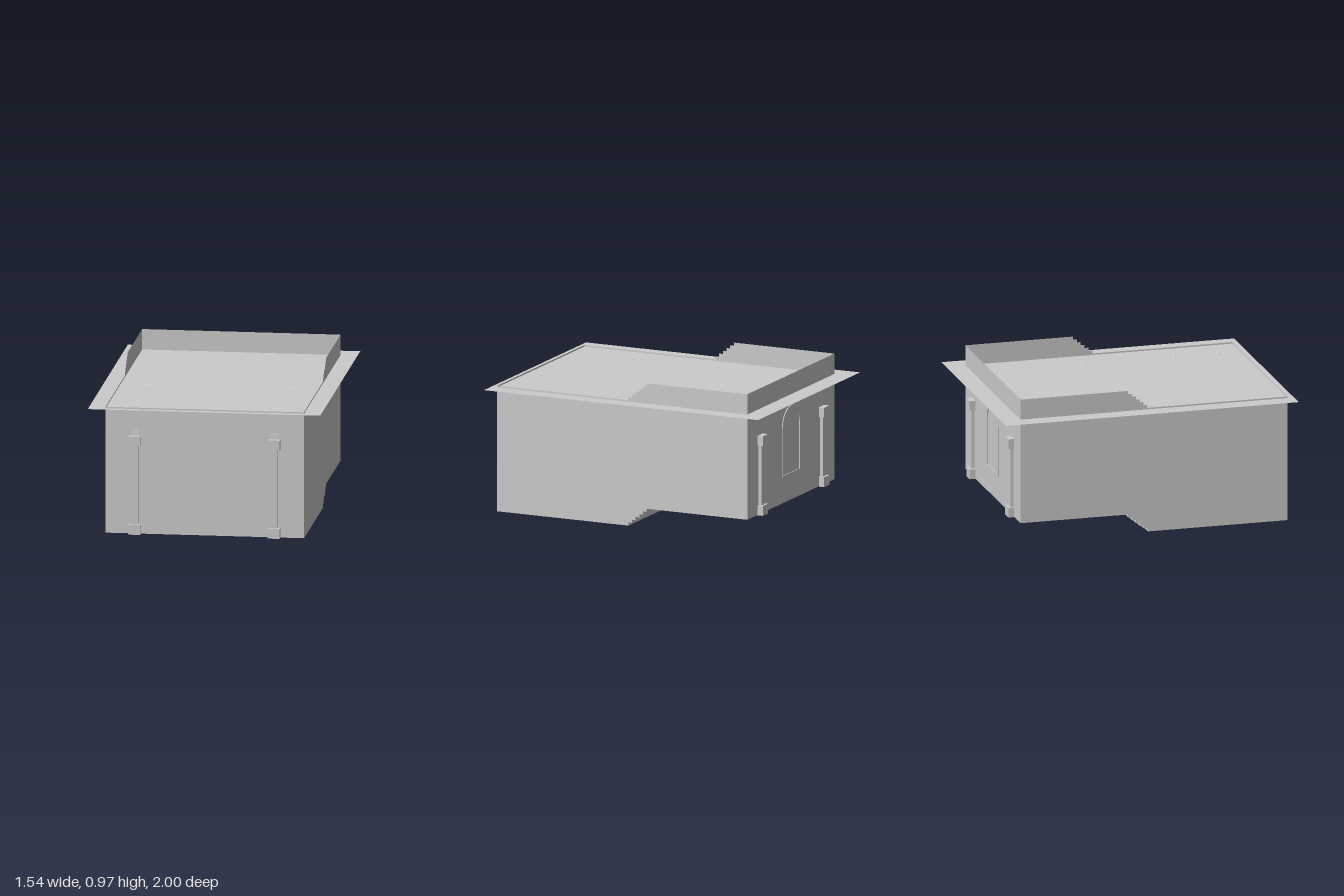
import * as THREE from 'three';

const HALF_W = 0.657, FRONT = 0.957, BACK = -0.867;
const LOW = 0, HIGH = 0.127, WALL_H = 0.846, STEPS = 6, STEP_START = 0, STEP_END = -0.133;

const material = new THREE.MeshStandardMaterial({ color: 0xcccccc, side: THREE.DoubleSide, flatShading: true });

function add(parent, name, geometry, x = 0, y = 0, z = 0) {
  const mesh = new THREE.Mesh(geometry, material);
  mesh.name = name;
  mesh.position.set(x, y, z);
  parent.add(mesh);
  return mesh;
}

// Floor line from front to back, as [z, y]
function floorLine() {
  const line = [[FRONT, LOW], [STEP_START, LOW]];
  for (let i = 0; i < STEPS; i++) {
    const z = STEP_START + (STEP_END - STEP_START) * i / (STEPS - 1);
    const y = LOW + (HIGH - LOW) * (i + 1) / STEPS;
    if (i > 0) line.push([z, line[line.length - 1][1]]);
    line.push([z, y]);
  }
  line.push([BACK, HIGH]);
  return line;
}

// Floor line swept across the width of the hall
function floorGeometry(line) {
  const positions = [];
  for (let i = 0; i < line.length - 1; i++) {
    const [z0, y0] = line[i], [z1, y1] = line[i + 1];
    const a = [-HALF_W, y0, z0], b = [HALF_W, y0, z0], c = [HALF_W, y1, z1], d = [-HALF_W, y1, z1];
    positions.push(...a, ...b, ...c, ...a, ...c, ...d);
  }
  const g = new THREE.BufferGeometry();
  g.setAttribute('position', new THREE.Float32BufferAttribute(positions, 3));
  g.computeVertexNormals();
  return g;
}

// Round-headed outline, w wide at the sill, springing at y = spring
function roundHead(path, half, sill, spring) {
  path.moveTo(-half, sill);
  path.lineTo(half, sill);
  path.lineTo(half, spring);
  path.absarc(0, spring, half, 0, Math.PI, false);
  path.lineTo(-half, sill);
  return path;
}

// Pointed arch rib that spans two columns
function archGeometry(span) {
  const o = span / 2 + 0.001, i = span / 2 - 0.022, width = 0.045;
  const s = new THREE.Shape();
  s.moveTo(-o, 0);
  s.quadraticCurveTo(-o, 0.13, 0, 0.179);
  s.quadraticCurveTo(o, 0.13, o, 0);
  s.lineTo(i, 0);
  s.quadraticCurveTo(i, 0.11, 0, 0.15);
  s.quadraticCurveTo(-i, 0.11, -i, 0);
  const g = new THREE.ExtrudeGeometry(s, { depth: width, bevelEnabled: false, curveSegments: 8 });
  return g.translate(0, 0, -width / 2).rotateY(Math.PI / 2);
}

// Square column with a block at each end
function column(x, z, foot) {
  const g = new THREE.Group();
  g.name = 'column';
  const block = 0.08, h = 0.066, top = 0.66;
  add(g, 'columnBase', new THREE.BoxGeometry(block, h, block), 0, foot + h / 2, 0);
  add(g, 'columnShaft', new THREE.BoxGeometry(0.045, top - foot - 2 * h, 0.045), 0, (foot + top) / 2, 0);
  add(g, 'columnCapital', new THREE.BoxGeometry(block, h, block), 0, top - h / 2, 0);
  g.position.set(x, 0, z);
  return g;
}

export function createModel() {
  const model = new THREE.Group();
  model.name = 'hall';
  const line = floorLine();

  // Stepped floor
  add(model, 'floor', floorGeometry(line));

  // Side walls follow the floor line at the bottom and the top
  const outline = [...line, ...line.map(([z, y]) => [z, y + WALL_H]).reverse()];
  const side = new THREE.Shape(outline.map(([z, y]) => new THREE.Vector2(-z, y)));
  for (const s of [-1, 1]) {
    add(model, s > 0 ? 'leftWall' : 'rightWall', new THREE.ShapeGeometry(side).rotateY(Math.PI / 2), s * HALF_W);
  }

  // End walls
  add(model, 'frontWall', new THREE.PlaneGeometry(2 * HALF_W, WALL_H), 0, LOW + WALL_H / 2, FRONT);
  add(model, 'backWall', new THREE.PlaneGeometry(2 * HALF_W, WALL_H).rotateY(Math.PI), 0, HIGH + WALL_H / 2, BACK);

  // Flat ceiling sheet that overhangs the walls
  add(model, 'ceiling', new THREE.PlaneGeometry(1.54, 2).rotateX(-Math.PI / 2), 0, 0.836, 0);

  // Arched frame on the back wall
  const frame = roundHead(new THREE.Shape(), 0.135, 0.3, 0.628);
  frame.holes.push(roundHead(new THREE.Path(), 0.123, 0.312, 0.628));
  add(model, 'windowFrame', new THREE.ExtrudeGeometry(frame, { depth: 0.012, bevelEnabled: false, curveSegments: 16 }),
    0, 0, BACK - 0.006);

  // Two rows of columns joined by arches
  const z0 = 0.96, spans = 6, span = (0.96 + 0.866) / spans;
  for (const x of [-0.462, 0.462]) {
    for (let i = 0; i <= spans; i++) {
      const z = z0 - i * span;
      model.add(column(x, z, z > STEP_END ? LOW : HIGH - 0.002));
      if (i < spans) add(model, 'arch', archGeometry(span), x, 0.66, z - span / 2);
    }
  }
  return model;
}
